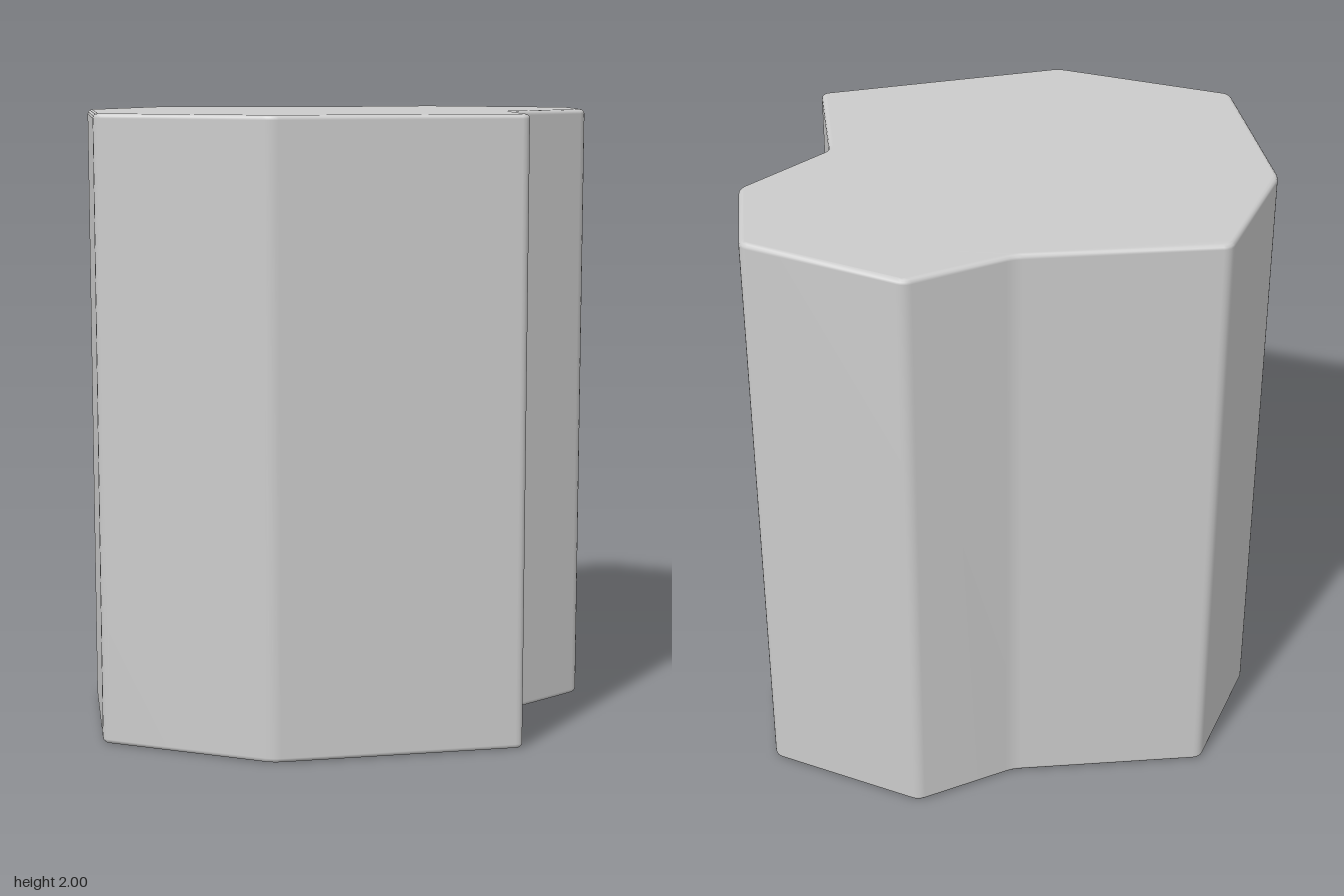
import * as THREE from 'three';
import { mergeVertices } from 'three/addons/utils/BufferGeometryUtils.js';

const HEIGHT = 2;
const BEVEL = 0.015; // soft rim at top and bottom
const CORNER = 0.025; // distance along each side where a corner starts to round

// Outline seen from above, as x, z corners
const OUTLINE = [
  [-0.60, -0.59], [0.04, -0.57], [0.37, -0.68], [0.83, -0.40], [0.82, -0.05],
  [0.53, 0.17], [0.53, 0.58], [-0.27, 0.67], [-0.80, 0.41], [-0.83, -0.18],
].map(([x, z]) => new THREE.Vector2(x, z));

// Closed polygon whose corners are slightly rounded
function roundedShape(corners, r) {
  const shape = new THREE.Shape();
  const n = corners.length;
  const toward = (a, b) => b.clone().sub(a).setLength(r).add(a);
  corners.forEach((c, i) => {
    const start = toward(c, corners[(i + n - 1) % n]);
    const end = toward(c, corners[(i + 1) % n]);
    if (i === 0) shape.moveTo(start.x, start.y);
    else shape.lineTo(start.x, start.y);
    shape.quadraticCurveTo(c.x, c.y, end.x, end.y);
  });
  shape.closePath();
  return shape;
}

export function createModel() {
  const group = new THREE.Group();
  group.name = 'rockColumn';

  // Upright prism with bevelled rims
  let geometry = new THREE.ExtrudeGeometry(roundedShape(OUTLINE, CORNER), {
    depth: HEIGHT - 2 * BEVEL,
    bevelThickness: BEVEL,
    bevelSize: BEVEL,
    bevelOffset: -BEVEL,
    bevelSegments: 3,
    curveSegments: 4,
  });
  geometry.rotateX(Math.PI / 2).translate(0, HEIGHT - BEVEL, 0);

  // Area-weighted smooth normals keep the big faces flat and the bevels soft
  geometry.deleteAttribute('normal');
  geometry.deleteAttribute('uv');
  geometry = mergeVertices(geometry);
  geometry.computeVertexNormals();

  const column = new THREE.Mesh(geometry, new THREE.MeshStandardMaterial({ color: 0xcccccc }));
  column.name = 'column';
  group.add(column);
  return group;
}
